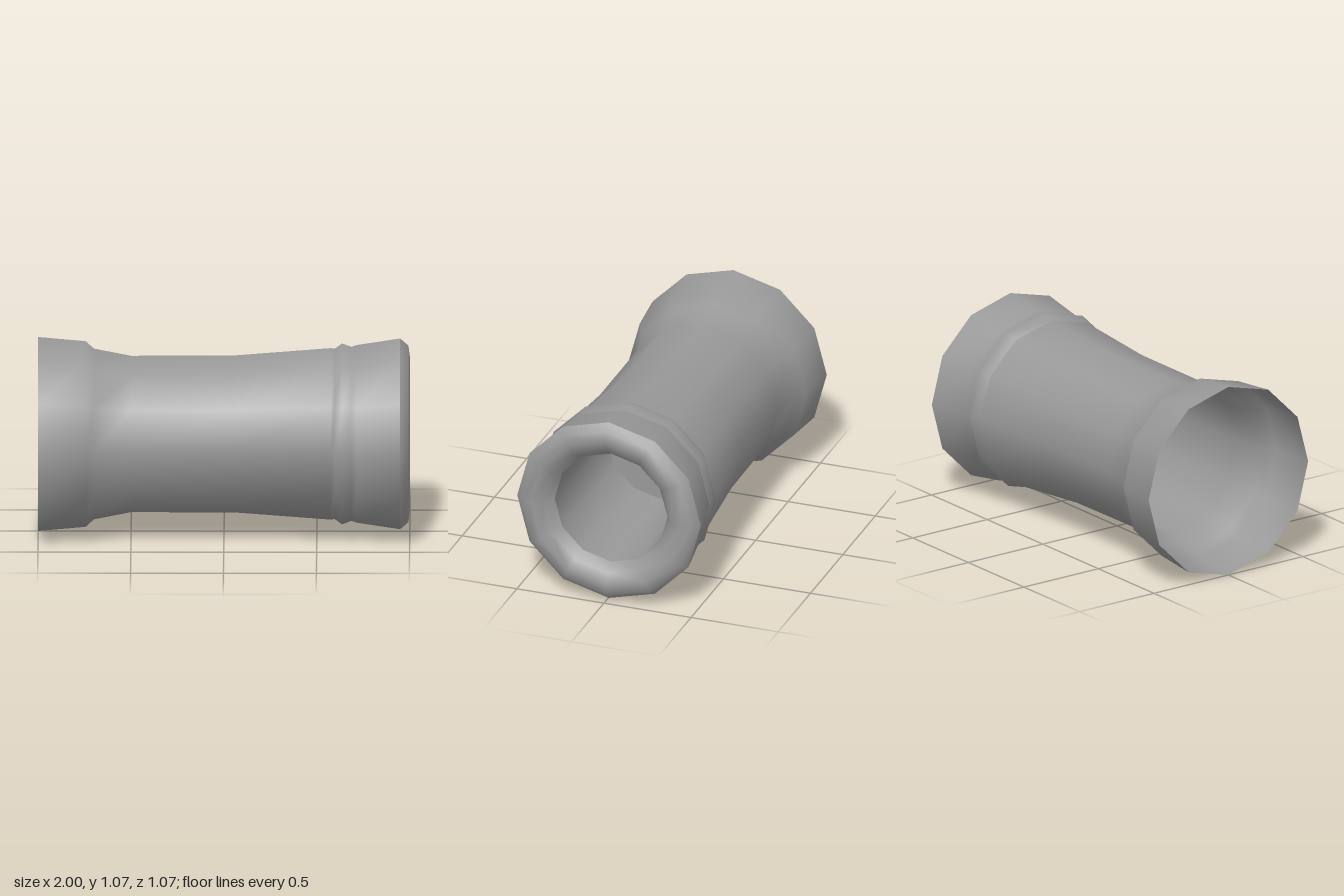
import * as THREE from 'three';
import { mergeVertices } from 'three/addons/utils/BufferGeometryUtils.js';

const SIDES = 12;
const CENTRE_Y = 0.537;

// Turns a profile of [x, radius] pairs around the x axis, with the slight sideways lean of the tube.
function turned(name, profile, material) {
  const points = profile.map(([x, r]) => new THREE.Vector2(r, x));
  const lathe = new THREE.LatheGeometry(points, SIDES);
  lathe.rotateZ(-Math.PI / 2);
  const pos = lathe.attributes.position;
  for (let i = 0; i < pos.count; i++) {
    pos.setZ(i, pos.getZ(i) - 0.005 * (pos.getX(i) + 1));
  }
  lathe.translate(0, CENTRE_Y, 0);
  // Join the seam and let the large faces dominate the smooth shading
  lathe.deleteAttribute('normal');
  lathe.deleteAttribute('uv');
  const geometry = mergeVertices(lathe);
  geometry.computeVertexNormals();
  const mesh = new THREE.Mesh(geometry, material);
  mesh.name = name;
  return mesh;
}

export function createModel() {
  const group = new THREE.Group();
  group.name = 'flaredTube';
  const grey = new THREE.MeshStandardMaterial({ color: 0x999999, side: THREE.DoubleSide });

  // Outer shell: open flared end, waist, raised collar and second flare
  group.add(turned('outerShell', [
    [-1, 0.536], [-0.745, 0.513], [-0.7, 0.472], [-0.5, 0.432], [0.06, 0.434],
    [0.575, 0.474], [0.595, 0.47], [0.635, 0.5], [0.685, 0.481], [0.715, 0.491], [0.948, 0.527],
  ], grey));

  // Rounded lip rolling into the mouth
  group.add(turned('mouthLip', [
    [0.948, 0.527], [0.992, 0.488], [1, 0.43], [0.975, 0.365], [0.915, 0.324],
  ], grey));

  // Tapering bore and its closed floor
  group.add(turned('bore', [[0.915, 0.324], [0.15, 0.303]], grey));
  group.add(turned('boreFloor', [[0.15, 0.303], [0.15, 0]], grey));

  return group;
}
